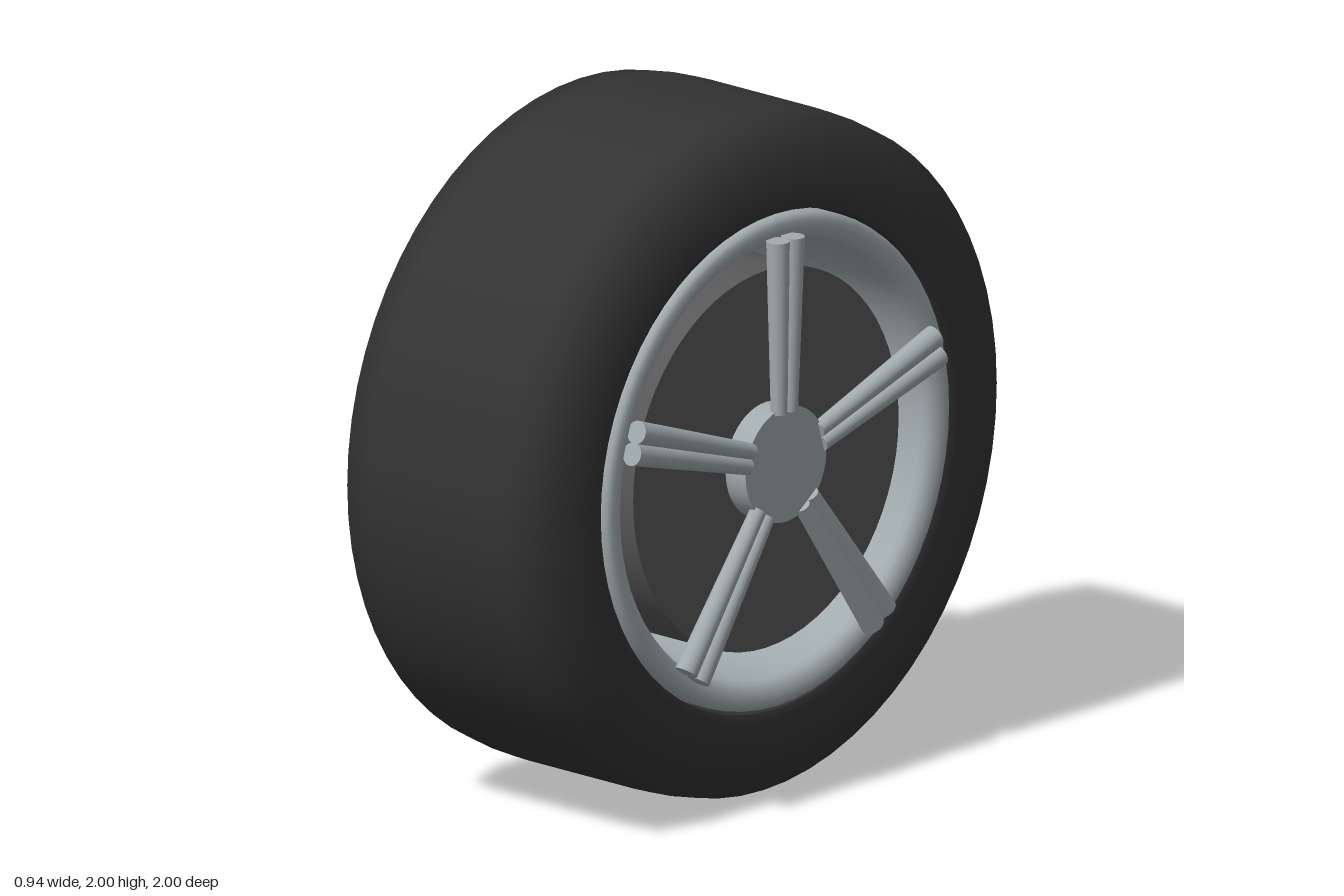
import * as THREE from 'three';

const SEGMENTS = 64;

export function createModel() {
  const rubber = new THREE.MeshStandardMaterial({ color: 0x333333 });
  rubber.name = 'black rubber';
  const alloy = new THREE.MeshStandardMaterial({ color: 0xa1abae });
  alloy.name = 'silver alloy';
  const iron = new THREE.MeshStandardMaterial({ color: 0x585858 });
  iron.name = 'dark grey iron';

  const wheel = new THREE.Group();
  wheel.name = 'wheel';
  wheel.position.y = 1;

  const add = (parent, name, geometry, material) => {
    const mesh = new THREE.Mesh(geometry, material);
    mesh.name = name;
    parent.add(mesh);
    return mesh;
  };

  // Revolves [radius, x] points around the x axle
  const revolve = (points) =>
    new THREE.LatheGeometry(points.map(([r, x]) => new THREE.Vector2(r, x)), SEGMENTS)
      .rotateZ(-Math.PI / 2);

  // Mirrors half a profile, given from the outer side towards the middle
  const mirrored = (half) => [
    ...half.map(([r, x]) => [r, -x]),
    ...half.slice().reverse(),
  ];

  // Tyre: tread with shoulders and sidewalls, then the inner bore
  add(wheel, 'tyre', revolve(mirrored([
    [0.735, 0.395], [0.76, 0.405], [0.865, 0.4], [0.985, 0.35], [0.998, 0.26],
    [1, 0.2],
  ])), rubber);
  add(wheel, 'tyreBore', revolve([[0.735, 0.395], [0.735, -0.395]]), rubber);

  // Rim: outer barrel, inner barrel and a rounded lip on each side
  add(wheel, 'rimOuterBarrel', revolve([[0.726, -0.39], [0.726, 0.39]]), alloy);
  add(wheel, 'rimInnerBarrel', revolve([[0.645, 0.37], [0.645, -0.37]]), alloy);
  const lip = [
    [0.726, 0.39], [0.722, 0.406], [0.705, 0.413], [0.685, 0.412],
    [0.663, 0.403], [0.65, 0.388], [0.645, 0.37],
  ];
  add(wheel, 'rimLipLeft', revolve(lip), alloy);
  add(wheel, 'rimLipRight', revolve(lip).rotateY(Math.PI), alloy);

  // Brake drum behind the spokes
  add(wheel, 'brakeDrum',
    new THREE.CylinderGeometry(0.56, 0.56, 0.72, SEGMENTS).rotateZ(-Math.PI / 2), iron);

  // Hub and five twin spokes on each face
  const rod = new THREE.CylinderGeometry(0.034, 0.024, 0.515, 20);
  for (const side of [1, -1]) {
    const face = new THREE.Group();
    face.name = side > 0 ? 'leftFace' : 'rightFace';
    wheel.add(face);

    const hub = add(face, 'hub',
      new THREE.CylinderGeometry(0.17, 0.17, 0.1, 48).rotateZ(-Math.PI / 2), alloy);
    hub.position.x = side * 0.387;

    for (let i = 0; i < 5; i++) {
      const spoke = new THREE.Group();
      spoke.name = 'spoke';
      spoke.rotation.x = (i * 2 * Math.PI) / 5;
      for (const s of [1, -1]) {
        const bar = add(spoke, 'spokeRod', rod, alloy);
        bar.position.set(side * 0.433, 0.413, s * 0.027);
        bar.rotation.set(s * 0.018, 0, -side * 0.008);
      }
      face.add(spoke);
    }
  }

  const model = new THREE.Group();
  model.name = 'carWheel';
  model.add(wheel);
  return model;
}
